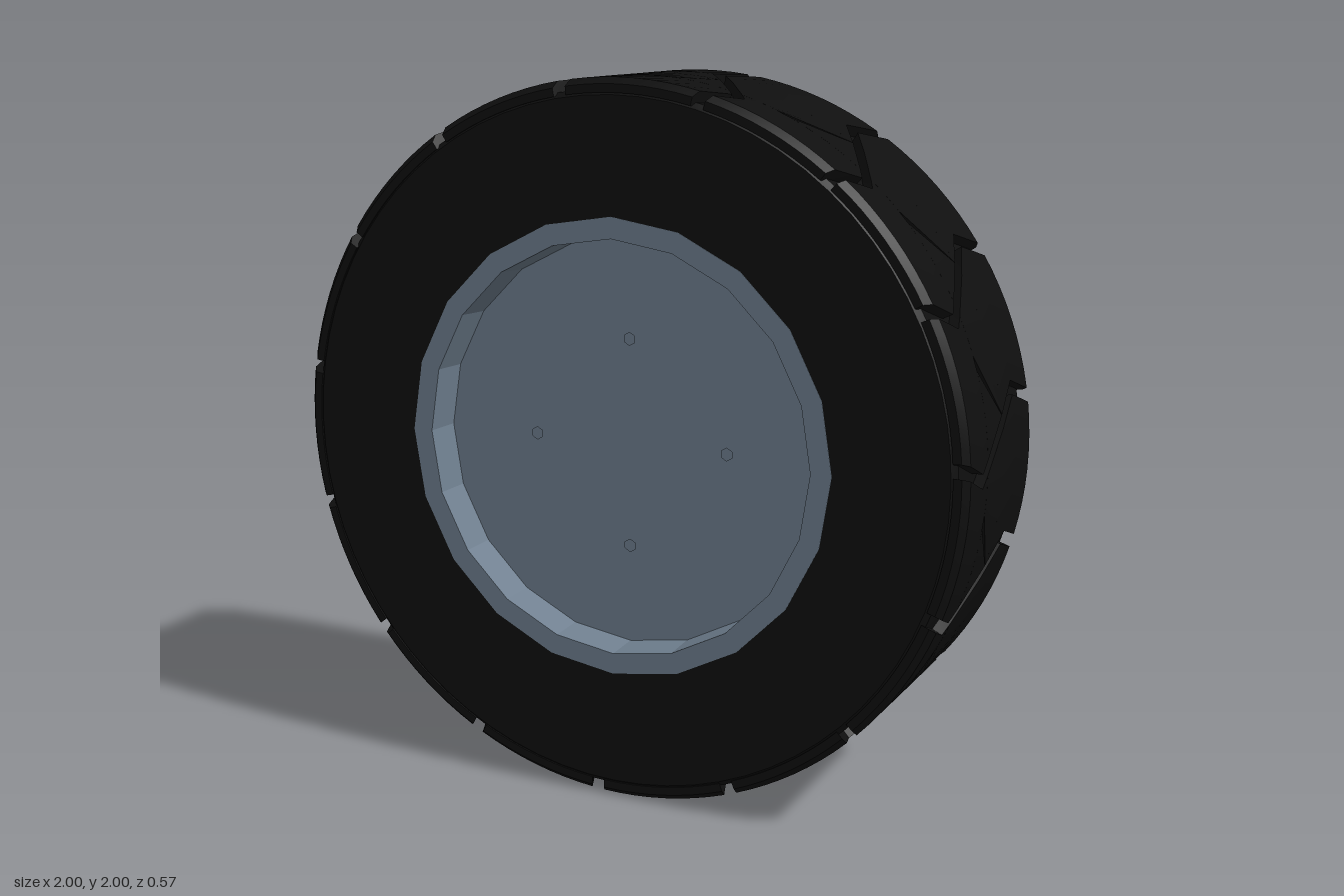
import * as THREE from 'three';
import { mergeGeometries, toCreasedNormals } from 'three/addons/utils/BufferGeometryUtils.js';

const rubber = new THREE.MeshStandardMaterial({ color: 0x0f0f0f });
rubber.name = 'black rubber';
const metal = new THREE.MeshStandardMaterial({ color: 0x708090 });
metal.name = 'slate metal';

const TAU = Math.PI * 2;
const SIDES = 20;

function part(name, geometry, material, parent) {
  const mesh = new THREE.Mesh(geometry, material);
  mesh.name = name;
  parent.add(mesh);
  return mesh;
}

// Solid of revolution about z from [radius, z] pairs
function turned(profile, sides, crease) {
  const points = profile.map(([r, z]) => new THREE.Vector2(r, z));
  const g = new THREE.LatheGeometry(points, sides).rotateX(Math.PI / 2);
  return toCreasedNormals(g, crease);
}

function ringPoints(r, sides, cx = 0, cy = 0) {
  return Array.from({ length: sides }, (_, i) => {
    const a = (i / sides) * TAU;
    return new THREE.Vector2(cx + r * Math.sin(a), cy + r * Math.cos(a));
  });
}

// Flat polygonal plate with holes, from z to z + depth
function plate(r, holes, z, depth) {
  const shape = new THREE.Shape(ringPoints(r, SIDES));
  for (const h of holes) shape.holes.push(new THREE.Path(ringPoints(...h)));
  return new THREE.ExtrudeGeometry(shape, { depth, bevelEnabled: false }).translate(0, 0, z);
}

// Bolt hole circle: [radius, sides, x, y]
function boltCircle(count, circleR, holeR, sides, start) {
  return Array.from({ length: count }, (_, i) => {
    const a = start + (i / count) * TAU;
    return [holeR, sides, circleR * Math.cos(a), circleR * Math.sin(a)];
  });
}

// Straight-line interpolation through [z, angle] knots
function along(knots, z) {
  for (let i = 1; i < knots.length; i++) {
    const [z0, a0] = knots[i - 1], [z1, a1] = knots[i];
    if (z <= z1 + 1e-9) return a0 + ((a1 - a0) * (z - z0)) / (z1 - z0);
  }
  return knots[knots.length - 1][1];
}

// Tread: 15 zigzag lugs (angles in degrees), each split partway by a slanted groove
function treadGeometry() {
  const count = 15, pitch = 360 / count, gap = 1.1;
  const zigzag = [[-0.285, 8], [-0.13, 11], [0.16, 0], [0.285, 3]];
  const slant = [[-0.02, 7], [0.12, 17.2]];
  const stations = [-0.285, -0.265, -0.13, -0.02, 0.12, 0.16, 0.265, 0.285];
  const topR = z => (Math.abs(z) > 0.27 ? 0.983 : 1);
  const main = z => along(zigzag, z);
  const pieces = [];

  const block = (z0, z1, from, to, turn) => {
    const g = new THREE.BoxGeometry(1, 1, 1, 8, 1, 1);
    const p = g.attributes.position;
    for (let i = 0; i < p.count; i++) {
      const z = p.getZ(i) < 0 ? z0 : z1;
      const a0 = from(z), a1 = Math.max(to(z), a0);
      const a = ((turn + a1 + (a0 - a1) * (p.getX(i) + 0.5)) * Math.PI) / 180;
      const r = p.getY(i) < 0 ? 0.96 : topR(z);
      p.setXYZ(i, r * Math.cos(a), r * Math.sin(a), z);
    }
    pieces.push(g);
  };

  for (let k = 0; k < count; k++) {
    for (let s = 1; s < stations.length; s++) {
      const z0 = stations[s - 1], z1 = stations[s];
      const start = z => main(z) + gap, end = z => main(z) + pitch - gap;
      if (z0 === -0.02) {
        block(z0, z1, start, z => along(slant, z) - gap, k * pitch);
        block(z0, z1, z => along(slant, z) + gap, end, k * pitch);
      } else {
        block(z0, z1, start, end, k * pitch);
      }
    }
  }
  return toCreasedNormals(mergeGeometries(pieces), 0.3);
}

export function createModel() {
  const wheel = new THREE.Group();
  wheel.name = 'wheel';
  wheel.position.y = 1;

  // Tyre
  const tyre = new THREE.Group();
  tyre.name = 'tyre';
  wheel.add(tyre);
  part('tyreCarcass', turned([
    [0.53, -0.11], [0.545, -0.14], [0.6, -0.27], [0.61, -0.285], [0.955, -0.285], [0.97, -0.27],
    [0.97, 0.27], [0.955, 0.285], [0.62, 0.285], [0.6, 0.2], [0.53, 0.1], [0.53, -0.11],
  ], 72, 0.5), rubber, tyre);
  part('tread', treadGeometry(), rubber, tyre);

  // Rim: hollow bowl at the back, shallow dish at the front
  const rim = new THREE.Group();
  rim.name = 'rim';
  wheel.add(rim);
  part('rimBody', turned([
    [0, 0.08], [0.17, 0.08], [0.2, -0.03], [0.235, -0.08], [0.262, -0.13], [0.52, -0.13],
    [0.56, -0.1], [0.56, 0.1], [0.637, 0.22], [0.637, 0.286], [0.578, 0.286], [0.57, 0.14], [0, 0.14],
  ], SIDES, 0.1), metal, rim);
  part('frontPlate', plate(0.573, boltCircle(4, 0.293, 0.018, 6, 0), 0.14, 0.04), metal, rim);
  part('backPlate', plate(0.517,
    [[0.27, SIDES], ...boltCircle(5, 0.4, 0.03, 8, -Math.PI / 2)], -0.17, 0.042), metal, rim);

  // Hub with bore, collar, bolts and ribs
  const hub = new THREE.Group();
  hub.name = 'hub';
  wheel.add(hub);
  part('hubTube', turned([
    [0.06, -0.23], [0.086, -0.23], [0.086, 0.09], [0.06, 0.09], [0.06, -0.23],
  ], 16, 0.3), metal, hub);
  part('hubCollar', turned([
    [0.08, -0.14], [0.115, -0.14], [0.125, -0.13], [0.125, 0.09],
  ], 16, 0.3), metal, hub);
  for (let i = 0; i < 10; i++) {
    const a = (i / 10) * TAU;
    const bolt = part('collarBolt', new THREE.CylinderGeometry(0.009, 0.009, 0.02, 6).rotateX(Math.PI / 2), metal, hub);
    bolt.position.set(0.102 * Math.cos(a), 0.102 * Math.sin(a), -0.146);
    const rib = part('hubRib', new THREE.BoxGeometry(0.1, 0.02, 0.13), metal, hub);
    rib.position.set(0.16 * Math.cos(a), 0.16 * Math.sin(a), 0.02);
    rib.rotation.z = a + 0.35;
  }
  return wheel;
}
